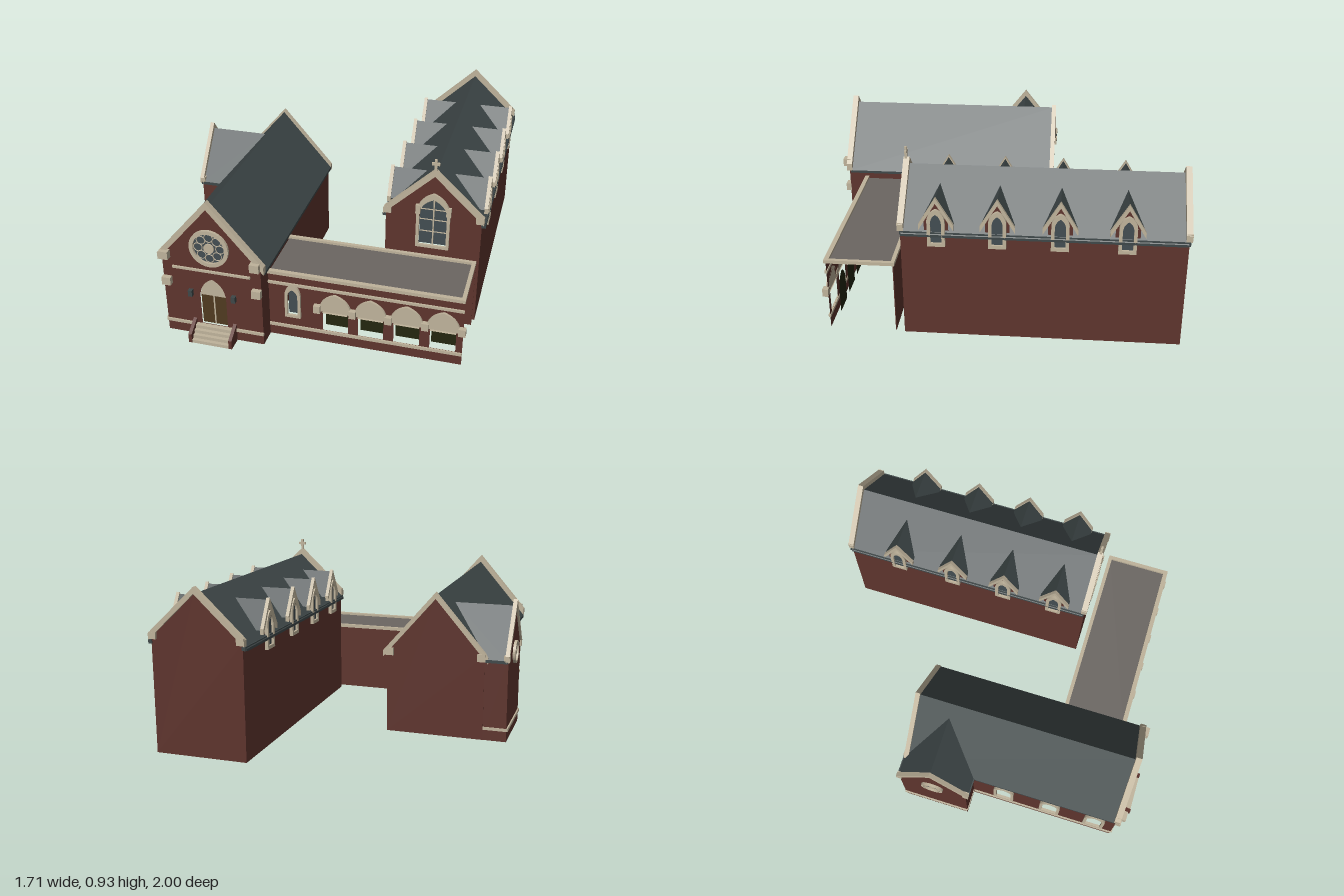
import * as THREE from 'three';

const mat = (name, color, double = true) => {
  const m = new THREE.MeshStandardMaterial({ color, side: double ? THREE.DoubleSide : THREE.FrontSide });
  m.name = name;
  return m;
};
const brick = mat('brick', 0x5e342d), slate = mat('slate', 0x3e4748), stone = mat('stone', 0xbfb39b);
const glass = mat('glass', 0x424d52), shade = mat('shadow green', 0x24260f), flat = mat('flat roof', 0x6b6662);
const wood = mat('door wood', 0x4f3a20);

function add(parent, name, geo, material, x = 0, y = 0, z = 0) {
  const m = new THREE.Mesh(geo, material);
  m.name = name;
  m.position.set(x, y, z);
  parent.add(m);
  return m;
}
const box = (p, name, material, w, h, d, x, y, z) => add(p, name, new THREE.BoxGeometry(w, h, d), material, x, y, z);
const poly = (pts) => new THREE.Shape(pts.map((q) => new THREE.Vector2(q[0], q[1])));
const extrude = (shape, depth) => new THREE.ExtrudeGeometry(shape, { depth, bevelEnabled: false, curveSegments: 16 });

// A child group turned to face a side, so details can be laid out in xy
function facing(parent, name, x, z, angle) {
  const g = new THREE.Group();
  g.name = name;
  g.position.set(x, 0, z);
  g.rotation.y = angle;
  parent.add(g);
  return g;
}

// Pointed arch outline: half width, foot, spring line, point
function arch(cx, w, y0, spring, top) {
  const s = new THREE.Shape();
  s.moveTo(cx - w, y0);
  s.lineTo(cx + w, y0);
  s.lineTo(cx + w, spring);
  s.quadraticCurveTo(cx + w * 0.9, spring + (top - spring) * 0.72, cx, top);
  s.quadraticCurveTo(cx - w * 0.9, spring + (top - spring) * 0.72, cx - w, spring);
  return s;
}
function disc(cx, cy, r) {
  const s = new THREE.Shape();
  s.absarc(cx, cy, r, 0, Math.PI * 2);
  return s;
}
function wall(p, name, shape, holes, z = 0) {
  shape.holes.push(...holes);
  return add(p, name, new THREE.ShapeGeometry(shape, 16), brick, 0, 0, z);
}
function frame(p, name, outer, inner, depth, z = 0) {
  outer.holes.push(inner);
  return add(p, name, extrude(outer, depth), stone, 0, 0, z);
}
const pane = (p, name, shape, material, z) => add(p, name, new THREE.ShapeGeometry(shape, 16), material, 0, 0, z);
const gable = (h, eave, ridge) => poly([[-h, 0], [h, 0], [h, eave], [0, ridge], [-h, eave]]);

// Pitched band used for roofs and gable copings
const chevron = (p, name, material, h, eave, ridge, t, z0, z1) => add(p, name, extrude(poly([
  [-h, eave], [-h, eave - t], [0, ridge - t], [h, eave - t], [h, eave], [0, ridge]]), z1 - z0), material, 0, 0, z0);

// Cross roof running back into a bigger roof: eave depth and ridge depth differ
function crossRoof(p, name, h, eave, ridge, front, eaveBack, ridgeBack) {
  const g = new THREE.BufferGeometry();
  const v = [];
  for (const s of [-1, 1]) {
    const a = [s * h, eave, front], b = [0, ridge, front], c = [0, ridge, ridgeBack], d = [s * h, eave, eaveBack];
    v.push(...(s > 0 ? [a, c, b, a, d, c] : [a, b, c, a, c, d]).flat());
  }
  g.setAttribute('position', new THREE.Float32BufferAttribute(v, 3));
  g.computeVertexNormals();
  add(p, name, g, slate);
}

// Round window with ring, pane and petal tracery
function rose(p, cy, r) {
  frame(p, 'roundWindowRing', disc(0, cy, r), disc(0, cy, r * 0.8), 0.015);
  pane(p, 'roundWindowGlass', disc(0, cy, r * 0.82), glass, 0.003);
  add(p, 'roundWindowHub', extrude(disc(0, cy, r * 0.26), 0.008), stone, 0, 0, 0.003);
  for (let i = 0; i < 8; i++) {
    const a = (i / 8) * Math.PI * 2;
    add(p, 'roundWindowPetal', new THREE.TorusGeometry(r * 0.22, r * 0.025, 6, 16), stone,
      Math.cos(a) * r * 0.56, cy + Math.sin(a) * r * 0.56, 0.004);
  }
}

function buildNave(root) {
  const g = facing(root, 'nave', -0.455, 0, 0);
  const front = facing(g, 'naveFront', 0, 0.915, 0);
  wall(front, 'naveFrontWall', gable(0.265, 0.46, 0.78), [arch(0, 0.07, 0.075, 0.25, 0.355)]);
  chevron(front, 'naveFrontCoping', stone, 0.285, 0.48, 0.81, 0.042, -0.02, 0.012);
  rose(front, 0.545, 0.105);
  // Doorway
  for (const s of [-1, 1]) box(front, 'doorLeaf', wood, 0.066, 0.175, 0.008, s * 0.036, 0.163, -0.015);
  box(front, 'doorPost', stone, 0.008, 0.175, 0.01, 0, 0.163, -0.014);
  pane(front, 'doorTympanum', arch(0, 0.07, 0.25, 0.255, 0.355), stone, -0.008);
  // Stone trim
  box(front, 'stringCourse', stone, 0.42, 0.012, 0.014, 0, 0.405, 0.003);
  for (const s of [-1, 1]) {
    box(front, 'plinthBand', stone, 0.165, 0.016, 0.012, s * 0.185, 0.066, 0.003);
    box(front, 'kneeler', stone, 0.05, 0.045, 0.045, s * 0.243, 0.48, 0.012);
    box(front, 'cornerBlock', stone, 0.048, 0.045, 0.03, s * 0.243, 0.32, 0.012);
    box(front, 'lamp', slate, 0.022, 0.036, 0.022, s * 0.117, 0.265, 0.014);
    // Sloped stair cheek
    const cheek = add(front, 'stairCheek', extrude(poly([[0, 0], [0.083, 0], [0.083, 0.05], [0, 0.1]]), 0.018), brick, s * 0.11 - 0.009, 0, 0);
    cheek.rotation.y = -Math.PI / 2;
    cheek.position.x += 0.018;
  }
  for (let i = 0; i < 4; i++) {
    const d = 0.083 - i * 0.019;
    box(front, 'step', stone, 0.2, 0.018, d, 0, 0.009 + i * 0.018, d / 2);
  }
  // Rear gable
  const back = facing(g, 'naveBack', 0, -0.295, Math.PI);
  wall(back, 'naveBackWall', gable(0.265, 0.46, 0.76), []);
  chevron(back, 'naveBackCoping', stone, 0.285, 0.455, 0.785, 0.035, -0.015, 0.01);
  for (const s of [-1, 1]) box(back, 'kneeler', stone, 0.045, 0.04, 0.03, s * 0.25, 0.45, 0);
  chevron(g, 'naveRoof', slate, 0.285, 0.44, 0.77, 0.015, -0.29, 0.905);
  // Side walls, the west one with three windows
  const east = facing(g, 'naveEast', 0.265, 0.31, Math.PI / 2);
  wall(east, 'naveEastWall', poly([[-0.605, 0], [0.605, 0], [0.605, 0.46], [-0.605, 0.46]]), []);
  const west = facing(g, 'naveWest', -0.265, 0, -Math.PI / 2);
  const zs = [0.27, 0.54, 0.8];
  wall(west, 'naveWestWall', poly([[-0.295, 0], [0.915, 0], [0.915, 0.46], [-0.295, 0.46]]),
    zs.map((c) => arch(c, 0.042, 0.15, 0.3, 0.35)));
  for (const c of zs) {
    frame(west, 'sideWindowFrame', arch(c, 0.058, 0.132, 0.305, 0.372), arch(c, 0.042, 0.15, 0.3, 0.35), 0.014);
    pane(west, 'sideWindowGlass', arch(c, 0.042, 0.15, 0.3, 0.35), glass, -0.03);
  }
  box(west, 'plinthBand', stone, 0.82, 0.016, 0.012, 0.505, 0.066, 0.002);
}

function buildTransept(root) {
  const g = facing(root, 'transept', -0.845, -0.103, -Math.PI / 2);
  wall(g, 'transeptWall', gable(0.19, 0.45, 0.69), []);
  chevron(g, 'transeptCoping', stone, 0.207, 0.47, 0.735, 0.035, -0.014, 0.008);
  rose(g, 0.45, 0.062);
  box(g, 'plinthBand', stone, 0.38, 0.016, 0.012, 0, 0.066, 0.002);
  for (const s of [-1, 1]) {
    box(g, 'kneeler', stone, 0.03, 0.035, 0.03, s * 0.19, 0.455, -0.006);
    box(g, 'transeptSide', brick, 0.004, 0.45, 0.126, s * 0.188, 0.225, -0.063);
    box(g, 'plinthBand', stone, 0.008, 0.016, 0.126, s * 0.19, 0.066, -0.063);
    box(g, 'transeptGutter', slate, 0.014, 0.015, 0.12, s * 0.2, 0.437, -0.06);
  }
  crossRoof(g, 'transeptRoof', 0.205, 0.44, 0.7, 0, -0.11, -0.33);
}

function buildDormer(g, side, z) {
  const d = facing(g, 'dormer', side * 0.252, z, side * Math.PI / 2);
  pane(d, 'dormerWall', poly([[-0.06, 0.56], [0.06, 0.56], [0.06, 0.66], [0, 0.755], [-0.06, 0.66]]), brick, 0);
  chevron(d, 'dormerCoping', stone, 0.086, 0.637, 0.783, 0.03, -0.005, 0.014);
  frame(d, 'dormerWindowFrame', arch(0, 0.044, 0.52, 0.66, 0.72), arch(0, 0.027, 0.538, 0.645, 0.695), 0.018);
  pane(d, 'dormerGlass', arch(0, 0.03, 0.53, 0.65, 0.7), glass, 0.006);
  crossRoof(d, 'dormerRoof', 0.085, 0.628, 0.772, 0, -0.034, -0.183);
}

function buildHall(root) {
  const g = facing(root, 'hall', 0.58, 0, 0);
  for (const [name, z, turn] of [['hallFront', 0.42, 0], ['hallBack', -0.985, Math.PI]]) {
    const e = facing(g, name, 0, z, turn);
    const holes = turn ? [] : [arch(0, 0.073, 0.435, 0.62, 0.71)];
    wall(e, name + 'Wall', gable(0.25, 0.61, 0.85), holes);
    chevron(e, name + 'Coping', stone, 0.262, 0.63, 0.877, 0.035, -0.018, 0.013);
    for (const s of [-1, 1]) box(e, 'kneeler', stone, 0.04, 0.035, 0.03, s * 0.24, 0.618, -0.001);
    if (turn) continue;
    // Great window, mullions and cross
    frame(e, 'greatWindowFrame', arch(0, 0.088, 0.422, 0.63, 0.742), arch(0, 0.072, 0.437, 0.62, 0.708), 0.014);
    for (const s of [-1, 1]) box(e, 'hoodStop', stone, 0.025, 0.05, 0.02, s * 0.08, 0.645, 0.008);
    pane(e, 'greatWindowGlass', arch(0, 0.073, 0.435, 0.62, 0.71), glass, -0.012);
    box(e, 'mullion', stone, 0.007, 0.27, 0.008, 0, 0.57, -0.008);
    for (const y of [0.51, 0.58, 0.64]) box(e, 'glazingBar', stone, 0.144, 0.003, 0.006, 0, y, -0.009);
    box(e, 'crossUpright', stone, 0.014, 0.065, 0.012, 0, 0.9, 0);
    box(e, 'crossArm', stone, 0.042, 0.014, 0.012, 0, 0.908, 0);
  }
  chevron(g, 'hallRoof', slate, 0.27, 0.585, 0.842, 0.013, -0.98, 0.415);
  for (const s of [-1, 1]) {
    box(g, 'hallSideWall', brick, 0.004, 0.6, 1.405, s * 0.248, 0.3, -0.2825);
    box(g, 'hallGutter', slate, 0.02, 0.02, 1.41, s * 0.256, 0.585, -0.285);
    for (const z of [0.24, -0.06, -0.365, -0.69]) buildDormer(g, s, z);
  }
}

function buildCloister(root) {
  const g = facing(root, 'cloister', 0, 0.81, 0);
  const xs = [0.165, 0.35, 0.535, 0.72];
  const opening = (c) => arch(c, 0.066, 0.075, 0.205, 0.285);
  wall(g, 'cloisterFrontWall', poly([[-0.19, 0], [0.82, 0], [0.82, 0.39], [-0.19, 0.39]]),
    [...xs.map(opening), arch(-0.06, 0.027, 0.145, 0.26, 0.3)]);
  for (const c of xs) {
    pane(g, 'archShade', opening(c), shade, -0.05);
    frame(g, 'archHood', arch(c, 0.084, 0.2, 0.215, 0.306), arch(c, 0.066, 0.19, 0.205, 0.286), 0.014);
  }
  for (let i = 0; i < 5; i++) box(g, 'archCorbel', stone, 0.036, 0.042, 0.03, 0.072 + i * 0.186, 0.212, 0.012);
  // Small window
  frame(g, 'smallWindowFrame', arch(-0.06, 0.042, 0.13, 0.265, 0.335), arch(-0.06, 0.027, 0.145, 0.26, 0.3), 0.014);
  pane(g, 'smallWindowGlass', arch(-0.06, 0.027, 0.145, 0.26, 0.3), glass, -0.012);
  // Bands, back wall and flat roof with raised rim
  box(g, 'plinthBand', stone, 1.01, 0.016, 0.012, 0.315, 0.066, 0.003);
  box(g, 'stringCourse', stone, 1.01, 0.014, 0.014, 0.315, 0.328, 0.003);
  box(g, 'cloisterBackWall', brick, 1.01, 0.385, 0.004, 0.315, 0.1925, -0.343);
  box(g, 'cloisterRoof', flat, 1.0, 0.008, 0.345, 0.315, 0.382, -0.172);
  box(g, 'roofRim', stone, 1.01, 0.018, 0.024, 0.315, 0.39, 0);
  box(g, 'roofRim', stone, 1.01, 0.018, 0.02, 0.315, 0.39, -0.34);
  box(g, 'roofRim', stone, 0.02, 0.018, 0.36, 0.811, 0.39, -0.17);
}

export function createModel() {
  const root = new THREE.Group();
  root.name = 'church';
  buildNave(root);
  buildTransept(root);
  buildHall(root);
  buildCloister(root);
  return root;
}
